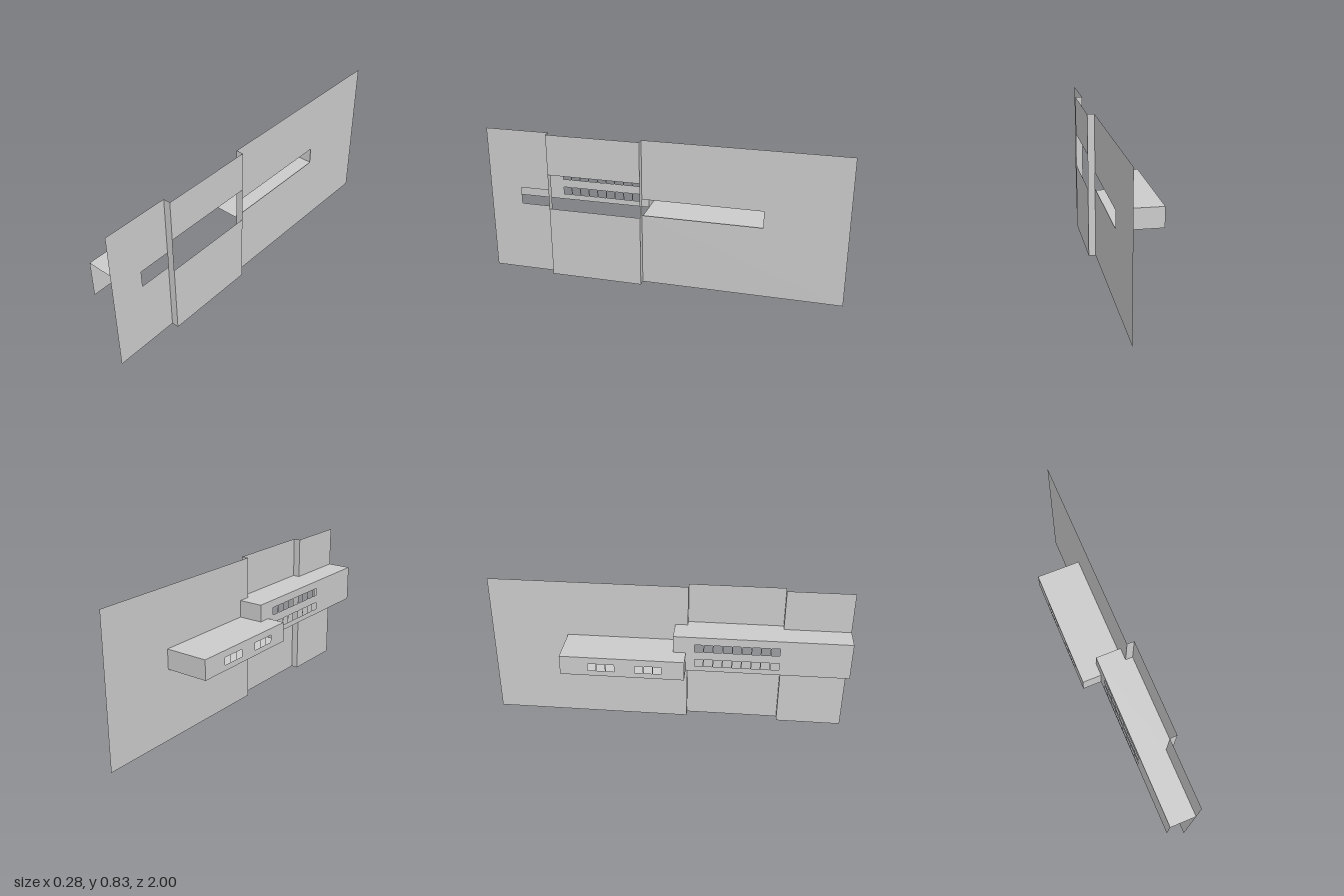
import * as THREE from 'three';

const material = new THREE.MeshStandardMaterial({ color: 0xcccccc, side: THREE.DoubleSide });

// Corner points of an axis-aligned rectangle
const rect = (u0, v0, u1, v1) => [[u0, v0], [u1, v0], [u1, v1], [u0, v1]];
const toPoints = list => list.map(([u, v]) => new THREE.Vector2(u, v));

// Thin flat panel across one axis; outline is (z, y) for x, (x, z) for y, (x, y) for z
function panel(name, axis, offset, outline, holes = []) {
  const shape = new THREE.Shape(toPoints(outline));
  shape.holes = holes.map(h => new THREE.Path(toPoints(h)));
  const geometry = new THREE.ShapeGeometry(shape);
  if (axis === 'x') geometry.rotateY(-Math.PI / 2);
  if (axis === 'y') geometry.rotateX(Math.PI / 2);
  const mesh = new THREE.Mesh(geometry, material);
  mesh.position[axis] = offset;
  mesh.name = name;
  return mesh;
}

// Row of window openings running along z
function windowRow(z0, z1, count, y0, y1) {
  const pitch = (z1 - z0) / count, gap = 0.003;
  return Array.from({ length: count }, (_, i) =>
    rect(z0 + i * pitch + gap, y0, z0 + (i + 1) * pitch - gap, y1));
}

function group(name, ...parts) {
  const g = new THREE.Group();
  g.name = name;
  g.add(...parts);
  return g;
}

export function createModel() {
  const H = 0.835;                       // facade height
  const wallX = 0.1, bayX = 0.14;        // main facade and projecting bay
  const bay0 = 0.11, bay1 = 0.635;       // bay extent along z
  const sill = 0.405, head = 0.5;        // long facade opening
  const base = 0.397, lowTop = 0.508, highTop = 0.605;
  const highX = -0.04, lowX = -0.145;    // back faces of the two volumes
  const highEnd = 0.04, lowEnd = -0.568;

  // Facade sheets, notched where the opening meets the bay
  const facade = group('facade',
    panel('rearFacade', 'x', wallX, [[-1, 0], [bay0, 0], [bay0, sill], [-0.555, sill],
      [-0.555, head], [bay0, head], [bay0, H], [-1, H]]),
    panel('frontFacade', 'x', wallX, [[1, 0], [1, H], [bay1, H], [bay1, head],
      [0.815, head], [0.815, sill], [bay1, sill], [bay1, 0]]),
    panel('bayLowerWall', 'x', bayX, rect(bay0, 0, bay1, sill)),
    panel('bayUpperWall', 'x', bayX, rect(bay0, highTop, bay1, H)),
    ...[bay0, bay1].map(z => panel('bayReturn', 'z', z, rect(wallX, 0, bayX, H))));

  // Tall volume, open underneath and at its front end
  const tall = group('tallVolume',
    panel('tallBackWall', 'x', highX,
      [[highEnd, lowTop], [bay0, lowTop], [bay0, base], [1, base], [1, highTop], [highEnd, highTop]],
      [...windowRow(0.155, 0.62, 9, 0.428, 0.47), ...windowRow(0.155, 0.62, 9, 0.517, 0.56)]),
    panel('tallRoof', 'y', highTop, [[highX, highEnd], [wallX, highEnd], [wallX, bay0],
      [bayX, bay0], [bayX, bay1], [wallX, bay1], [wallX, 1], [highX, 1]]),
    panel('tallEndWall', 'z', highEnd, rect(highX, lowTop, wallX, highTop)));

  // Low volume, its roof cut away where the tall volume overlaps
  const low = group('lowVolume',
    panel('lowBackWall', 'x', lowX, rect(lowEnd, base, bay0, lowTop),
      [...windowRow(-0.16, -0.01, 3, 0.428, 0.47), ...windowRow(-0.417, -0.267, 3, 0.428, 0.47)]),
    panel('lowRoof', 'y', lowTop, [[lowX, lowEnd], [wallX, lowEnd], [wallX, highEnd],
      [highX, highEnd], [highX, bay0], [lowX, bay0]]),
    panel('lowFloor', 'y', base, rect(lowX, lowEnd, wallX, bay0)),
    panel('lowRearEnd', 'z', lowEnd, rect(lowX, base, wallX, lowTop)),
    panel('lowFrontEnd', 'z', bay0, rect(lowX, base, highX, lowTop)));

  return group('building', facade, tall, low);
}
